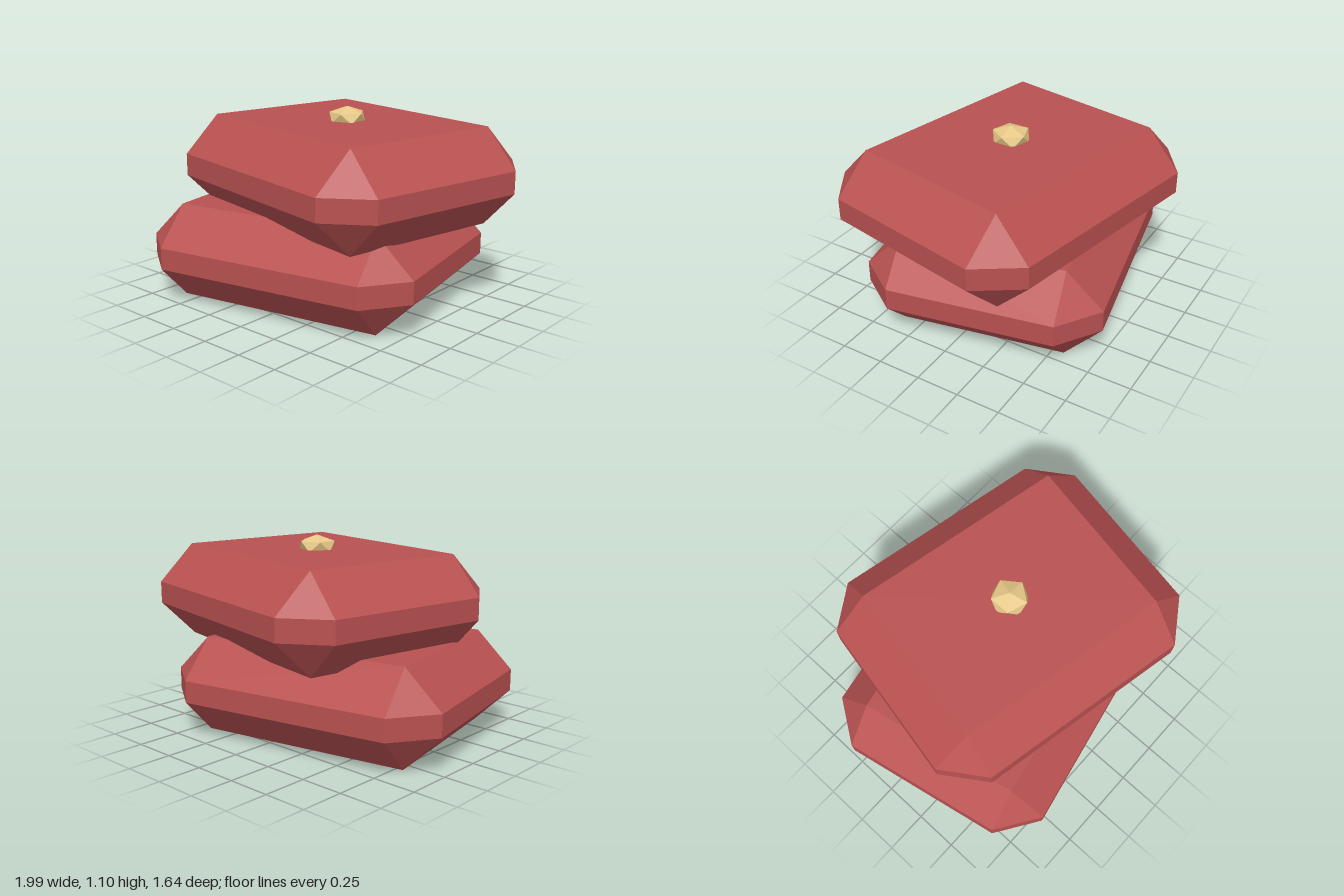
import * as THREE from 'three';
import { ConvexGeometry } from 'three/addons/geometries/ConvexGeometry.js';

const HX = 0.62, HZ = 0.475;       // half size of the flat top and bottom faces
const BEVEL = 0.21;                // outward reach and height of the bevels
const RIM = 0.0625;                // half height of the vertical rim

// Block with every edge bevelled: flat rectangles above and below, octagonal rim between
function bevelledBlock() {
  const points = [];
  for (const sx of [-1, 1]) for (const sy of [-1, 1]) for (const sz of [-1, 1]) {
    points.push(
      new THREE.Vector3(sx * HX, sy * (RIM + BEVEL), sz * HZ),
      new THREE.Vector3(sx * (HX + BEVEL), sy * RIM, sz * HZ),
      new THREE.Vector3(sx * HX, sy * RIM, sz * (HZ + BEVEL))
    );
  }
  return new ConvexGeometry(points);
}

export function createModel() {
  const model = new THREE.Group();
  const red = new THREE.MeshStandardMaterial({ color: 0xb95151, flatShading: true });
  const gold = new THREE.MeshStandardMaterial({ color: 0xe6c887, flatShading: true });

  // Two equal cushions, offset and twisted in opposite directions
  const cushion = bevelledBlock();
  const addCushion = (name, side, y) => {
    const mesh = new THREE.Mesh(cushion, red);
    mesh.name = name;
    mesh.position.set(side * 0.087, y, side * -0.025);
    mesh.rotation.y = side * -0.2;
    model.add(mesh);
  };
  addCushion('lowerCushion', -1, RIM + BEVEL);
  addCushion('upperCushion', 1, 0.75);

  // Flattened faceted button, one corner pointing up
  const buttonShape = new THREE.IcosahedronGeometry(1, 0);
  buttonShape.rotateZ(-Math.atan(2 / (1 + Math.sqrt(5))));
  buttonShape.scale(0.113, 0.062, 0.113);
  const button = new THREE.Mesh(buttonShape, gold);
  button.name = 'button';
  button.position.set(0.087, 1.04, -0.025);
  model.add(button);

  return model;
}
